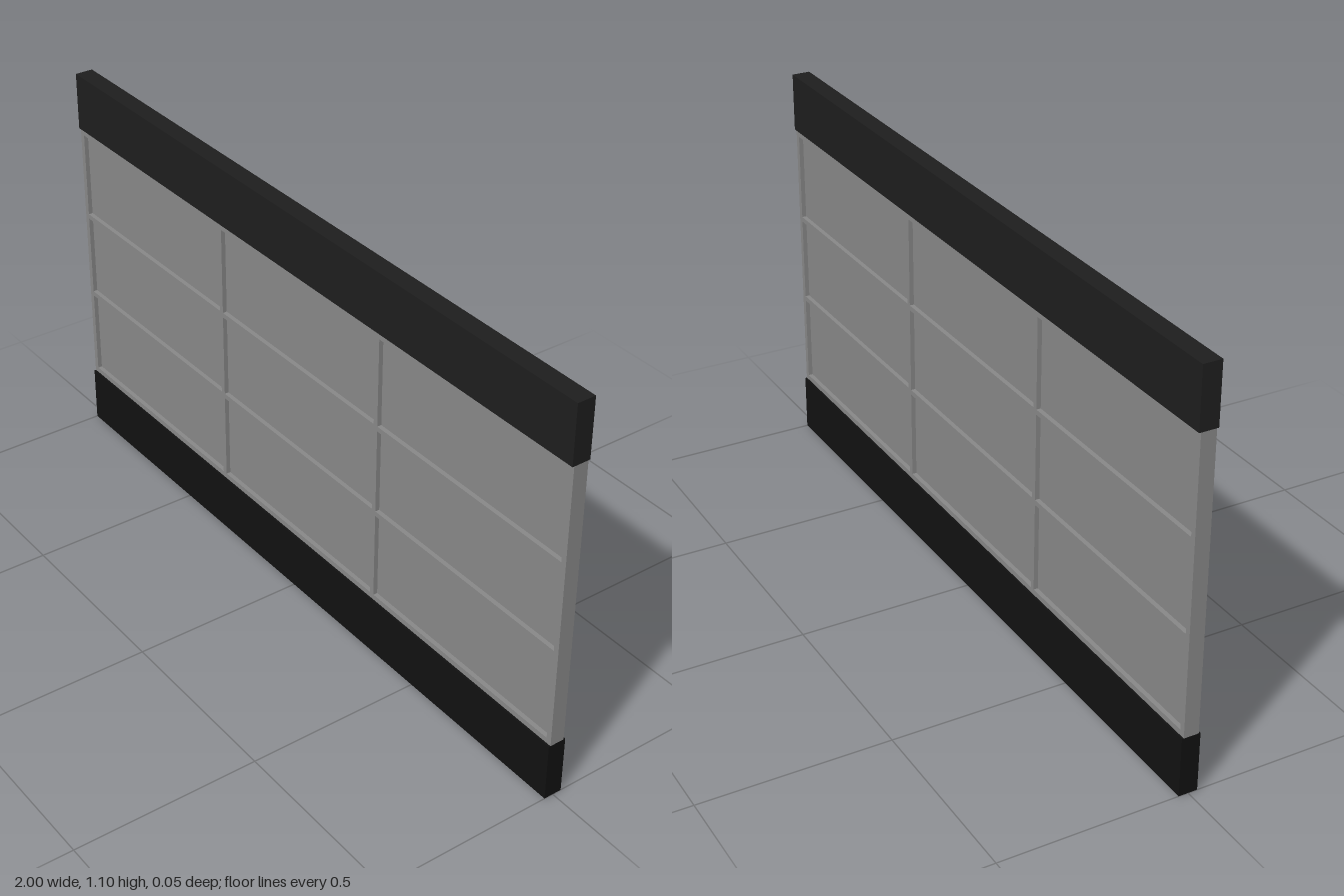
import * as THREE from 'three';

const HALF_WIDTH = 1;
const RAIL_H = 0.16, RAIL_D = 0.05, TOTAL_H = 1.1;
const FRAME_D = 0.04, PANE_D = 0.016;

// Openings between the frame bars: [start, end]
const COLUMNS = [[-0.985, -0.333], [-0.319, 0.319], [0.333, 0.985]];
const ROWS = [[0.175, 0.418], [0.432, 0.666], [0.68, 0.922]];

const material = (color) => new THREE.MeshStandardMaterial({ color });

function rectangle(Type, x0, x1, y0, y1) {
  return new Type([
    new THREE.Vector2(x0, y0), new THREE.Vector2(x1, y0),
    new THREE.Vector2(x1, y1), new THREE.Vector2(x0, y1),
  ]);
}

function box(name, w, h, d, x, y, mat) {
  const mesh = new THREE.Mesh(new THREE.BoxGeometry(w, h, d), mat);
  mesh.name = name;
  mesh.position.set(x, y, 0);
  return mesh;
}

export function createModel() {
  const model = new THREE.Group();
  model.name = 'panelBarrier';
  const grey = material(0x888888);

  // Heavy dark rails along the bottom and top
  model.add(box('bottomRail', HALF_WIDTH * 2, RAIL_H, RAIL_D, 0, RAIL_H / 2, material(0x111111)));
  model.add(box('topRail', HALF_WIDTH * 2, RAIL_H, RAIL_D, 0, TOTAL_H - RAIL_H / 2, material(0x1e1e1e)));

  // Frame with a grid of nine openings
  const outline = rectangle(THREE.Shape, -HALF_WIDTH, HALF_WIDTH, RAIL_H, TOTAL_H - RAIL_H);
  const panes = new THREE.Group();
  panes.name = 'panes';
  for (const [x0, x1] of COLUMNS) {
    for (const [y0, y1] of ROWS) {
      outline.holes.push(rectangle(THREE.Path, x0, x1, y0, y1));
      // Pane recessed equally from both faces
      panes.add(box('pane', x1 - x0, y1 - y0, PANE_D, (x0 + x1) / 2, (y0 + y1) / 2, grey));
    }
  }
  const frameGeometry = new THREE.ExtrudeGeometry(outline, { depth: FRAME_D, bevelEnabled: false });
  frameGeometry.translate(0, 0, -FRAME_D / 2);
  const frame = new THREE.Mesh(frameGeometry, grey);
  frame.name = 'frame';
  model.add(frame, panes);

  return model;
}
